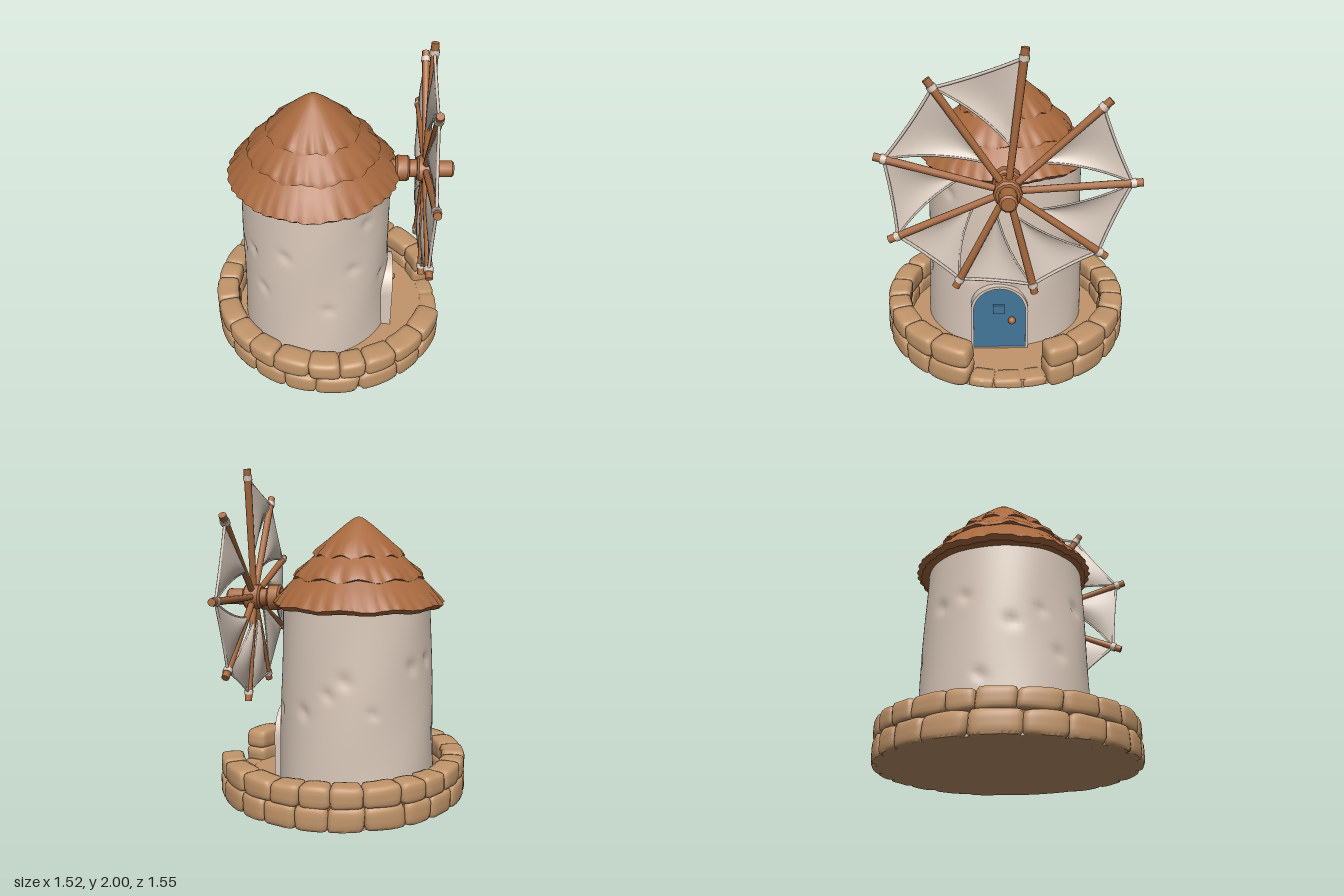
import * as THREE from 'three';
import { toCreasedNormals } from 'three/addons/utils/BufferGeometryUtils.js';

const material = (name, hex, side = THREE.FrontSide) => {
  const m = new THREE.MeshStandardMaterial({ color: hex, side });
  m.name = name;
  return m;
};

function seeded(seed) {
  return () => {
    seed = (seed * 16807) % 2147483647;
    return seed / 2147483647;
  };
}

// Moves every vertex by a rule, then rebuilds normals with sharp edges kept
function reshape(geometry, rule, crease = 0.8) {
  const p = geometry.attributes.position, v = new THREE.Vector3();
  for (let i = 0; i < p.count; i++) {
    rule(v.fromBufferAttribute(p, i));
    p.setXYZ(i, v.x, v.y, v.z);
  }
  return toCreasedNormals(geometry, crease);
}

const lathe = (points, segments) =>
  new THREE.LatheGeometry(points.map(([r, y]) => new THREE.Vector2(r, y)), segments);

export function createModel() {
  const model = new THREE.Group();
  const plaster = material('plaster', 0xd9c8b9);
  const cloth = material('cloth', 0xd9cabd, THREE.DoubleSide);
  const wood = material('brown wood and thatch', 0xa7693e);
  const stone = material('sandstone', 0xc1956a);
  const paint = material('blue paint', 0x427599);
  const random = seeded(417);

  const add = (name, geometry, mat, parent = model) => {
    const mesh = new THREE.Mesh(geometry, mat);
    mesh.name = name;
    parent.add(mesh);
    return mesh;
  };

  // Paved floor and the stone ring wall, open towards +x
  add('floor', new THREE.CylinderGeometry(0.73, 0.74, 0.05, 64), stone).position.y = 0.025;
  const ring = new THREE.Group();
  ring.name = 'stoneWall';
  model.add(ring);

  function addStone(name, angle, halfAngle, radius, halfDepth, y, halfHeight) {
    const tilt = (random() - 0.5) * 0.2, swell = 0.97 + random() * 0.05;
    const g = reshape(new THREE.BoxGeometry(2, 2, 2, 8, 5, 5), (v) => {
      const k = Math.pow(v.x ** 6 + v.y ** 6 + v.z ** 6, 1 / 6);
      v.divideScalar(k);
      const a = angle + v.x * halfAngle * 1.04 + v.y * tilt * halfAngle;
      const r = radius + v.z * halfDepth * swell;
      const h = y + v.y * halfHeight * (1 + 0.04 * Math.sin(v.x * 3 + angle * 9));
      v.set(Math.cos(a) * r, Math.max(0, h), -Math.sin(a) * r);
    }, 1.2);
    add(name, g, stone, ring);
  }

  function addCourse(name, count, start, end, radius, depth, y, height) {
    const widths = Array.from({ length: count }, () => 0.75 + random() * 0.5);
    const unit = (end - start) / widths.reduce((a, b) => a + b);
    let a = start;
    for (const w of widths) {
      const half = (w * unit) / 2;
      addStone(name, a + half, half, radius, depth, y, height * (0.97 + random() * 0.06));
      a += half * 2;
    }
  }
  const gap = 0.32, turn = Math.PI * 2;
  addCourse('lowerStone', 19, gap, turn - gap, 0.7, 0.076, 0.064, 0.072);
  addCourse('upperStone', 21, gap, turn - gap, 0.7, 0.073, 0.187, 0.063);
  addCourse('thresholdStone', 3, -gap, gap, 0.685, 0.06, 0.022, 0.032);
  // Mortar hidden between the stones
  const mortar = new THREE.Shape();
  mortar.absarc(0, 0, 0.738, gap + 0.05, turn - gap - 0.05, false);
  mortar.absarc(0, 0, 0.66, turn - gap - 0.05, gap + 0.05, true);
  add('mortar', new THREE.ExtrudeGeometry(mortar, { depth: 0.19, bevelEnabled: false, curveSegments: 48 })
    .rotateX(-Math.PI / 2).translate(0, 0.02, 0), wood, ring);

  // Plastered tower with shallow dents
  const dents = Array.from({ length: 18 }, (_, i) => ({
    a: i * 2.4 + 0.1, y: 0.3 + random() * 0.75, size: 0.035 + random() * 0.02,
  }));
  const towerProfile = [];
  for (let i = 0; i <= 44; i++) {
    const t = i / 44;
    towerProfile.push([0.492 - 0.036 * t, 0.04 + 1.15 * t]);
  }
  const tower = add('tower', reshape(lathe(towerProfile, 112), (v) => {
    const a = Math.atan2(v.z, v.x), r = Math.hypot(v.x, v.z);
    let push = 0.003 * Math.sin(a * 5 + v.y * 7);
    for (const d of dents) {
      const da = Math.atan2(Math.sin(a - d.a), Math.cos(a - d.a)) * r;
      push -= 0.016 * Math.exp(-(da * da + (v.y - d.y) ** 2) / (d.size * d.size * 0.5));
    }
    v.x *= (r + push) / r;
    v.z *= ((r + push) / r) * 1.04;
  }), plaster);
  tower.position.x = -0.09;

  // Thatched roof in three overlapping tiers with ragged edges
  const tiers = [
    [[0.3, 1.18], [0.44, 1.165], [0.5, 1.165], [0.525, 1.19], [0.5, 1.225], [0.44, 1.29], [0.34, 1.39]],
    [[0.3, 1.36], [0.375, 1.335], [0.4, 1.345], [0.385, 1.375], [0.31, 1.44], [0.22, 1.52]],
    [[0.18, 1.49], [0.255, 1.465], [0.28, 1.475], [0.265, 1.5], [0.19, 1.57], [0.09, 1.655], [0.03, 1.7], [0, 1.71]],
  ];
  tiers.forEach((profile, i) => {
    const edge = profile[i === 0 ? 3 : 2][0];
    const roof = add('thatchTier', reshape(lathe(profile, 144), (v) => {
      const a = Math.atan2(v.z, v.x), r = Math.hypot(v.x, v.z);
      const near = Math.max(0, 1 - (edge - r) / 0.09);
      const lobe = Math.abs(Math.sin(a * (19 - i * 4) + Math.sin(a * 3 + i)));
      const k = 1 + near * (lobe - 0.6) * 0.03;
      v.x *= k;
      v.z *= k * 1.02;
      v.y += near * 0.012 * Math.sin(a * 11 + i * 2) * (i ? 1 : 0.5);
    }, 0.7), wood);
    roof.position.set(-0.1, 0, -0.005);
  });

  // Arched door, its plaster frame, hatch and knob
  const arch = (half, bottom) => {
    const s = new THREE.Shape();
    s.moveTo(-half, bottom);
    s.lineTo(half, bottom);
    s.lineTo(half, 0.32);
    s.absarc(0, 0.32, half, 0, Math.PI, false);
    s.closePath();
    return s;
  };
  const doorway = new THREE.Group();
  doorway.name = 'doorway';
  doorway.position.set(0.3, 0, 0.045);
  doorway.rotation.y = Math.PI / 2;
  model.add(doorway);
  const extrude = (shape, depth) =>
    new THREE.ExtrudeGeometry(shape, { depth, bevelEnabled: false, curveSegments: 20 });
  const frame = arch(0.176, 0.045);
  frame.holes.push(arch(0.16, 0.055));
  add('doorFrame', extrude(frame, 0.117), plaster, doorway);
  add('door', extrude(arch(0.161, 0.05), 0.107), paint, doorway);
  add('doorHatch', new THREE.BoxGeometry(0.07, 0.06, 0.02), paint, doorway).position.set(-0.005, 0.335, 0.112);
  add('doorKnob', new THREE.SphereGeometry(0.024, 16, 12), wood, doorway).position.set(0.075, 0.26, 0.125);

  // Axle and hub along x
  const wheel = new THREE.Group();
  wheel.name = 'sailWheel';
  wheel.position.set(0, 1.203, 0);
  model.add(wheel);
  const axle = [[0.2, 0.5, 0.055], [0.395, 0.48, 0.083], [0.47, 0.54, 0.058], [0.525, 0.635, 0.08], [0.6, 0.75, 0.052]];
  for (const [x0, x1, r] of axle) {
    const b = 0.012, len = x1 - x0;
    const g = lathe([[0, 0], [r - b, 0], [r, b], [r, len - b], [r - b, len], [0, len]], 10);
    const part = add('axle', toCreasedNormals(g, 0.7), wood, wheel);
    part.rotation.z = -Math.PI / 2;
    part.position.x = x0;
  }

  // Nine spokes with cloth ties near their tips
  const planeX = 0.578;
  const lengths = [0.738, 0.745, 0.798, 0.757, 0.745, 0.722, 0.668, 0.664, 0.694];
  const angleOf = (i) => THREE.MathUtils.degToRad(3.6 + 40 * i);
  const at = (i, r, x = planeX) =>
    new THREE.Vector3(x, Math.sin(angleOf(i)) * r, -Math.cos(angleOf(i)) * r);
  lengths.forEach((len, i) => {
    const spoke = add('spoke', new THREE.CylinderGeometry(0.023, 0.02, len - 0.04, 10), wood, wheel);
    spoke.position.copy(at(i, (len + 0.04) / 2));
    spoke.rotation.x = angleOf(i) - Math.PI / 2;
    const tie = add('sailTie', new THREE.CylinderGeometry(0.028, 0.028, 0.03, 12), cloth, wheel);
    tie.position.copy(at(i, len - 0.055));
    tie.rotation.x = spoke.rotation.x;
  });

  // Sails: [spoke laced to, spoke tied to, inner radius]
  const sails = [[1, 0, 0.24], [2, 3, 0.25], [3, 4, 0.2], [4, 5, 0.27], [5, 6, 0.2], [6, 7, 0.14], [7, 8, 0.15], [8, 9, 0.19]];
  for (const [i, j, inner] of sails) {
    const n = j % 9;
    const p0 = at(i, lengths[i] - 0.055), p1 = at(n, lengths[n] - 0.055), root = at(i, inner);
    const centre = p0.clone().add(p1).add(root).divideScalar(3);
    const bend = p1.clone().add(root).multiplyScalar(0.5).lerp(centre, 0.45);
    const free = new THREE.QuadraticBezierCurve3(p1, bend, root);
    const outerMid = p0.clone().add(p1).multiplyScalar(0.5).lerp(centre, 0.12);
    const outer = new THREE.QuadraticBezierCurve3(p0, outerMid, p1);
    const sheet = new THREE.PlaneGeometry(1, 1, 10, 10);
    const g = reshape(sheet, (v) => {
      const s = v.x + 0.5, t = v.y + 0.5;
      const sag = outer.getPoint(s).sub(p0.clone().lerp(p1, s)).multiplyScalar(1 - t);
      const q = p0.clone().lerp(root, t).lerp(free.getPoint(t), s).add(sag);
      q.x -= 0.03 * Math.sin(Math.PI * s) * Math.sin(Math.PI * Math.min(1, t * 0.8 + 0.1));
      v.copy(q);
    }, 1.2);
    add('sail', g, cloth, wheel);
    add('sailOuterRope', new THREE.TubeGeometry(outer, 12, 0.009, 6), cloth, wheel);
    add('sailHem', new THREE.TubeGeometry(free, 14, 0.006, 6), cloth, wheel);
  }
  return model;
}
